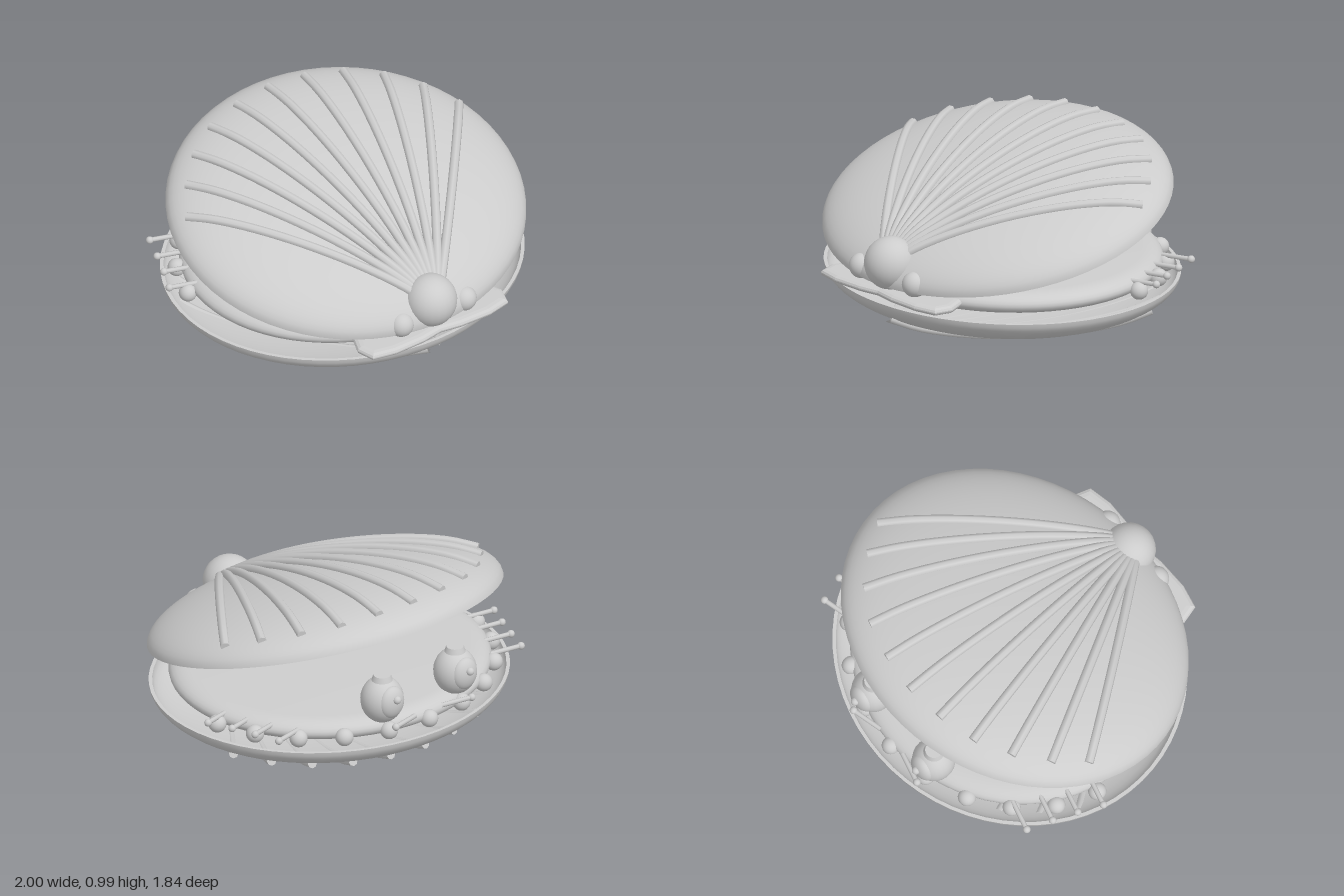
import * as THREE from 'three';
import { toCreasedNormals } from 'three/addons/utils/BufferGeometryUtils.js';

const shellGrey = new THREE.MeshStandardMaterial({ color: 0xcccccc });
shellGrey.name = 'shell grey';

const RX = 0.985, RZ = 0.89, DEPTH = 0.247;

function add(parent, name, geometry, x = 0, y = 0, z = 0) {
  const mesh = new THREE.Mesh(geometry, shellGrey);
  mesh.name = name;
  mesh.position.set(x, y, z);
  parent.add(mesh);
  return mesh;
}

function ball(parent, name, x, y, z, rx, ry = rx, rz = rx) {
  const mesh = add(parent, name, new THREE.SphereGeometry(1, 24, 16), x, y, z);
  mesh.scale.set(rx, ry, rz);
  return mesh;
}

// One half of the shell: a thin bowl with a fan of eleven ribs underneath
function makeValve(name) {
  const valve = new THREE.Group();
  valve.name = name;
  const profile = [];
  const steps = 18;
  for (let i = 0; i <= steps; i++) {
    const a = (i / steps) * Math.PI / 2;
    profile.push(new THREE.Vector2(Math.sin(a), -DEPTH * Math.cos(a)));
  }
  for (let i = steps; i >= 0; i--) {
    const a = (i / steps) * Math.PI / 2;
    profile.push(new THREE.Vector2(0.98 * Math.sin(a), -(DEPTH - 0.02) * Math.cos(a)));
  }
  profile[0].x = profile[profile.length - 1].x = 0;
  const bowl = new THREE.LatheGeometry(profile, 64).scale(RX, 1, RZ);
  add(valve, name + 'Bowl', toCreasedNormals(bowl, 0.9));

  const lengths = [1.63, 1.62, 1.60, 1.55, 1.48, 1.40];
  for (let i = -5; i <= 5; i++) {
    const angle = i * 0.1335, length = lengths[Math.abs(i)];
    const points = [];
    for (let k = 0; k <= 10; k++) {
      const t = 0.03 + (length - 0.03) * k / 10;
      const x = t * Math.sin(angle), z = 0.85 - t * Math.cos(angle);
      const rest = Math.max(0, 1 - (x / RX) ** 2 - (z / RZ) ** 2);
      points.push(new THREE.Vector3(x, -DEPTH * Math.sqrt(rest) - 0.002, z));
    }
    const curve = new THREE.CatmullRomCurve3(points);
    add(valve, 'rib', new THREE.TubeGeometry(curve, 24, 0.025, 8));
    // blunt rib end
    const end = points[10];
    const cap = add(valve, 'ribEnd', new THREE.CircleGeometry(0.025, 8), end.x, end.y, end.z);
    cap.lookAt(end.clone().add(curve.getTangent(1)));
  }
  return valve;
}

export function createModel() {
  const model = new THREE.Group();
  model.name = 'clam';

  // Lower and upper shell halves
  const lower = makeValve('lowerShell');
  lower.position.set(0, 0.275, -0.024);
  const upper = makeValve('upperShell');
  upper.position.set(0, 0.62, 0.008);
  upper.rotation.set(0.278, 0, Math.PI);
  model.add(lower, upper);

  // Soft body: flat pad with a rounded edge
  const pad = [new THREE.Vector2(0, 0.275)];
  for (let i = 0; i <= 12; i++) {
    const a = -Math.PI / 2 + (i / 12) * Math.PI;
    pad.push(new THREE.Vector2(0.76 + 0.115 * Math.cos(a), 0.335 + 0.058 * Math.sin(a)));
  }
  pad.push(new THREE.Vector2(0, 0.393));
  add(model, 'mantle', toCreasedNormals(new THREE.LatheGeometry(pad, 64).scale(1, 1, 0.92), 0.9), 0, 0, -0.03);

  // Hinge plate with two ears
  const plate = new THREE.Shape([
    [-0.41, 0.65], [0.41, 0.65], [0.46, 0.78], [0.43, 0.88], [0.3, 0.908], [0.12, 0.905],
    [0, 0.885], [-0.12, 0.905], [-0.3, 0.908], [-0.43, 0.88], [-0.46, 0.78],
  ].map(([x, z]) => new THREE.Vector2(x, z)));
  const plateGeometry = new THREE.ExtrudeGeometry(plate, {
    depth: 0.006, bevelThickness: 0.02, bevelSize: 0.04, bevelOffset: -0.04, bevelSegments: 3,
  }).rotateX(Math.PI / 2);
  add(model, 'hingePlate', plateGeometry, 0, 0.34, 0);

  // Hinge pearls
  ball(model, 'hingePearl', 0, 0.482, 0.785, 0.142);
  for (const side of [-1, 1]) ball(model, 'smallHingePearl', side * 0.2, 0.42, 0.805, 0.068);

  // Eyes facing the back opening
  for (const side of [-1, 1]) {
    const eye = new THREE.Group();
    eye.name = side > 0 ? 'leftEye' : 'rightEye';
    eye.position.set(side * 0.25, 0.485, -0.748);
    ball(eye, 'eyeball', 0, 0, 0, 0.115, 0.128, 0.115);
    ball(eye, 'iris', 0, 0.01, -0.075, 0.078, 0.09, 0.05);
    ball(eye, 'pupil', 0, 0.04, -0.122, 0.022);
    add(eye, 'eyeCap', new THREE.CylinderGeometry(0.046, 0.056, 0.03, 24), 0, 0.128, 0);
    model.add(eye);
  }

  // Row of beads along the rim
  for (let k = 0; k <= 10; k++) {
    const a = (10 + 16 * k) * Math.PI / 180;
    ball(model, 'rimBead', 0.9 * Math.cos(a), 0.32, -0.024 - 0.81 * Math.sin(a), 0.048);
  }

  // Feelers: thin stalks with ball tips
  const tips = [[0.26, -0.872], [0.83, -0.597], [0.877, -0.46], [0.925, -0.33], [0.98, -0.2]];
  for (const side of [-1, 1]) {
    for (const [x, z] of tips) {
      const tip = new THREE.Vector3(side * x, 0.37, z);
      const root = new THREE.Vector3(side * (x - 0.17), 0.362, z + 0.045);
      add(model, 'feelerStalk', new THREE.TubeGeometry(new THREE.LineCurve3(root, tip), 1, 0.013, 8));
      ball(model, 'feelerTip', tip.x, tip.y, tip.z, 0.02);
    }
  }
  return model;
}
